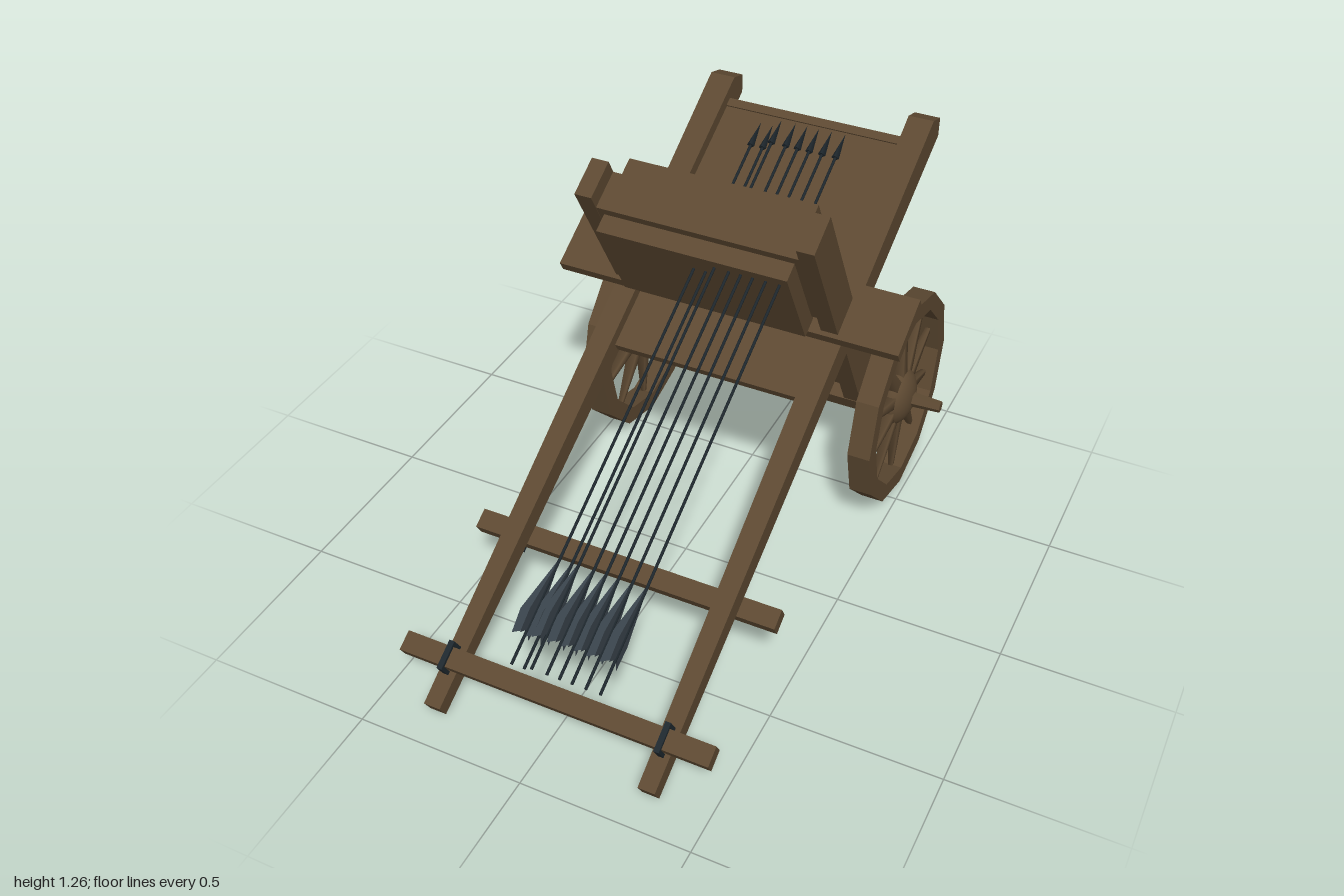
import * as THREE from 'three';

const wood = new THREE.MeshStandardMaterial({ color: 0x5c4831 });
wood.name = 'wood';
const iron = new THREE.MeshStandardMaterial({ color: 0x1e272d });
iron.name = 'dark iron';
const feather = new THREE.MeshStandardMaterial({ color: 0x38424a, side: THREE.DoubleSide });
feather.name = 'grey feather';

function add(parent, name, geometry, material = wood, x = 0, y = 0, z = 0) {
  const mesh = new THREE.Mesh(geometry, material);
  mesh.name = name;
  mesh.position.set(x, y, z);
  parent.add(mesh);
  return mesh;
}

// Box given by its limits on each axis
function box(parent, name, [x0, x1], [y0, y1], [z0, z1], material = wood) {
  return add(parent, name, new THREE.BoxGeometry(x1 - x0, y1 - y0, z1 - z0), material,
    (x0 + x1) / 2, (y0 + y1) / 2, (z0 + z1) / 2);
}

const shapeOf = (pts) => new THREE.Shape(pts.map(([a, b]) => new THREE.Vector2(a, b)));

// Side profile of [z, y] points, extruded to a width centred on x = 0
function slab(shape, width) {
  const g = new THREE.ExtrudeGeometry(shape, { depth: width, bevelEnabled: false });
  g.translate(0, 0, -width / 2);
  g.rotateY(-Math.PI / 2);
  return g;
}

function ring(n, r) {
  return Array.from({ length: n }, (_, i) => {
    const a = (i / n) * Math.PI * 2;
    return [Math.cos(a) * r, Math.sin(a) * r];
  });
}

function makeWheel(side) {
  const wheel = new THREE.Group();
  wheel.name = side > 0 ? 'leftWheel' : 'rightWheel';
  const rim = shapeOf(ring(12, 0.338));
  rim.holes.push(shapeOf(ring(12, 0.282)));
  add(wheel, 'rim', slab(rim, 0.07));
  const hub = new THREE.SphereGeometry(0.093, 20, 14);
  hub.rotateZ(Math.PI / 2);
  hub.scale(0.57, 1, 1);
  add(wheel, 'hub', hub);
  // Spokes, wide at the hub and narrow at the rim
  for (let i = 0; i < 10; i++) {
    const spoke = new THREE.CylinderGeometry(0.009, 0.028, 0.235, 4, 1);
    spoke.rotateY(Math.PI / 4);
    spoke.translate(0, 0.175, 0);
    spoke.rotateX((i / 10) * Math.PI * 2);
    add(wheel, 'spoke', spoke.toNonIndexed());
  }
  const tip = new THREE.CylinderGeometry(0.018, 0.024, 0.1, 6).toNonIndexed();
  tip.computeVertexNormals();
  tip.rotateZ(-side * Math.PI / 2);
  add(wheel, 'axleTip', tip, wood, side * 0.09);
  return wheel;
}

function makeArrow() {
  const arrow = new THREE.Group();
  arrow.name = 'arrow';
  const shaft = new THREE.CylinderGeometry(0.004, 0.004, 1.62, 6);
  shaft.rotateX(Math.PI / 2);
  add(arrow, 'shaft', shaft, iron, 0, 0, 0.51);
  const head = new THREE.ConeGeometry(0.011, 0.08, 4);
  head.rotateX(-Math.PI / 2);
  add(arrow, 'head', head, iron, 0, 0, -0.315);
  // Vanes above, beside and below the shaft
  const vane = shapeOf([[1.02, 0], [1.18, 0.042], [1.245, 0.036], [1.225, 0]]);
  for (let i = 0; i < 3; i++) {
    const g = new THREE.ShapeGeometry(vane);
    g.rotateY(-Math.PI / 2);
    g.rotateZ(i * Math.PI / 2);
    add(arrow, 'vane', g, feather);
  }
  return arrow;
}

export function createModel() {
  const model = new THREE.Group();
  model.name = 'arrowCart';

  // Wheels stand upright
  for (const s of [1, -1]) {
    const wheel = makeWheel(s);
    wheel.position.set(s * 0.446, 0.345, -0.587);
    model.add(wheel);
  }

  // Everything else leans with the shafts, pivoting on the axle
  const cart = new THREE.Group();
  cart.name = 'cartFrame';
  cart.position.set(0, 0.345, -0.587);
  cart.rotation.x = 0.514;
  model.add(cart);

  box(cart, 'axleBeam', [-0.395, 0.395], [-0.035, 0.025], [-0.07, 0.07]);

  // Long tapering rails with pointed rear ends
  for (const s of [1, -1]) {
    const g = slab(shapeOf([[1.448, 0.428], [1.448, 0.48], [-0.683, 0.492], [-0.728, 0.445], [-0.698, 0.393]]), 1);
    const p = g.attributes.position;
    for (let i = 0; i < p.count; i++) {
      const t = (1.448 - p.getZ(i)) / 2.15;
      p.setX(i, p.getX(i) * (0.05 + 0.03 * t));
    }
    g.computeVertexNormals();
    add(cart, 'rail', g, wood, s * 0.328);

    const side = (a, b) => (s > 0 ? [a, b] : [-b, -a]);
    box(cart, 'lowerStrut', side(0.296, 0.352), [0, 0.43], [-0.075, 0.068]);
    box(cart, 'upright', side(0.302, 0.354), [0.43, 0.98], [-0.035, 0.086]);
  }

  // Deck between the rails
  box(cart, 'deck', [-0.298, 0.298], [0.422, 0.452], [-0.6, 0.275]);
  box(cart, 'deckEnd', [-0.29, 0.29], [0.417, 0.457], [-0.628, -0.6]);

  // Lower box closing the space over the axle
  box(cart, 'lowerPanel', [-0.3, 0.3], [0.02, 0.425], [-0.025, 0.025]);
  box(cart, 'centrePost', [-0.023, 0.023], [0.02, 0.422], [-0.045, 0.045]);
  for (const x of [-0.275, 0.275]) {
    box(cart, 'sidePost', [x - 0.023, x + 0.023], [0.02, 0.422], [-0.04, 0.02]);
  }

  // Wide cross plank
  box(cart, 'crossPlank', [-0.54, 0.54], [0.49, 0.526], [-0.085, 0.1]);

  // Upper launching box on short spacers
  box(cart, 'coreBlock', [-0.303, 0.303], [0.6, 0.93], [-0.034, 0.085]);
  box(cart, 'frontBoard', [-0.285, 0.285], [0.58, 0.902], [0.08, 0.141]);
  box(cart, 'backBoard', [-0.285, 0.285], [0.565, 0.909], [-0.098, -0.03]);
  for (const [x, w] of [[-0.19, 0.035], [-0.05, 0.08], [0.06, 0.05], [0.19, 0.035]]) {
    box(cart, 'spacer', [x - w / 2, x + w / 2], [0.52, 0.61], [-0.035, 0.08]);
  }

  // Front crossbars, one over and one under the rails, with bindings
  for (const [y, z] of [[0.5, 1.312], [0.397, 0.893]]) {
    box(cart, 'crossbar', [-0.47, 0.47], [y - 0.021, y + 0.021], [z - 0.029, z + 0.029]);
    const loop = shapeOf([[-0.042, -0.036], [0.042, -0.036], [0.042, 0.036], [-0.042, 0.036]]);
    loop.holes.push(shapeOf([[-0.031, -0.026], [0.031, -0.026], [0.031, 0.026], [-0.031, 0.026]]));
    for (const s of [1, -1]) add(cart, 'binding', slab(loop, 0.016), iron, s * 0.33, y, z);
  }

  // Arrows: two in the lower row, six in the upper row
  [-0.003, 0.033, 0.067, 0.11, 0.145, 0.18, 0.218, 0.258].forEach((x, i) => {
    const arrow = makeArrow();
    arrow.position.set(x, i < 2 ? 0.828 : 0.866, 0);
    arrow.rotation.x = -0.021;
    cart.add(arrow);
  });

  return model;
}
